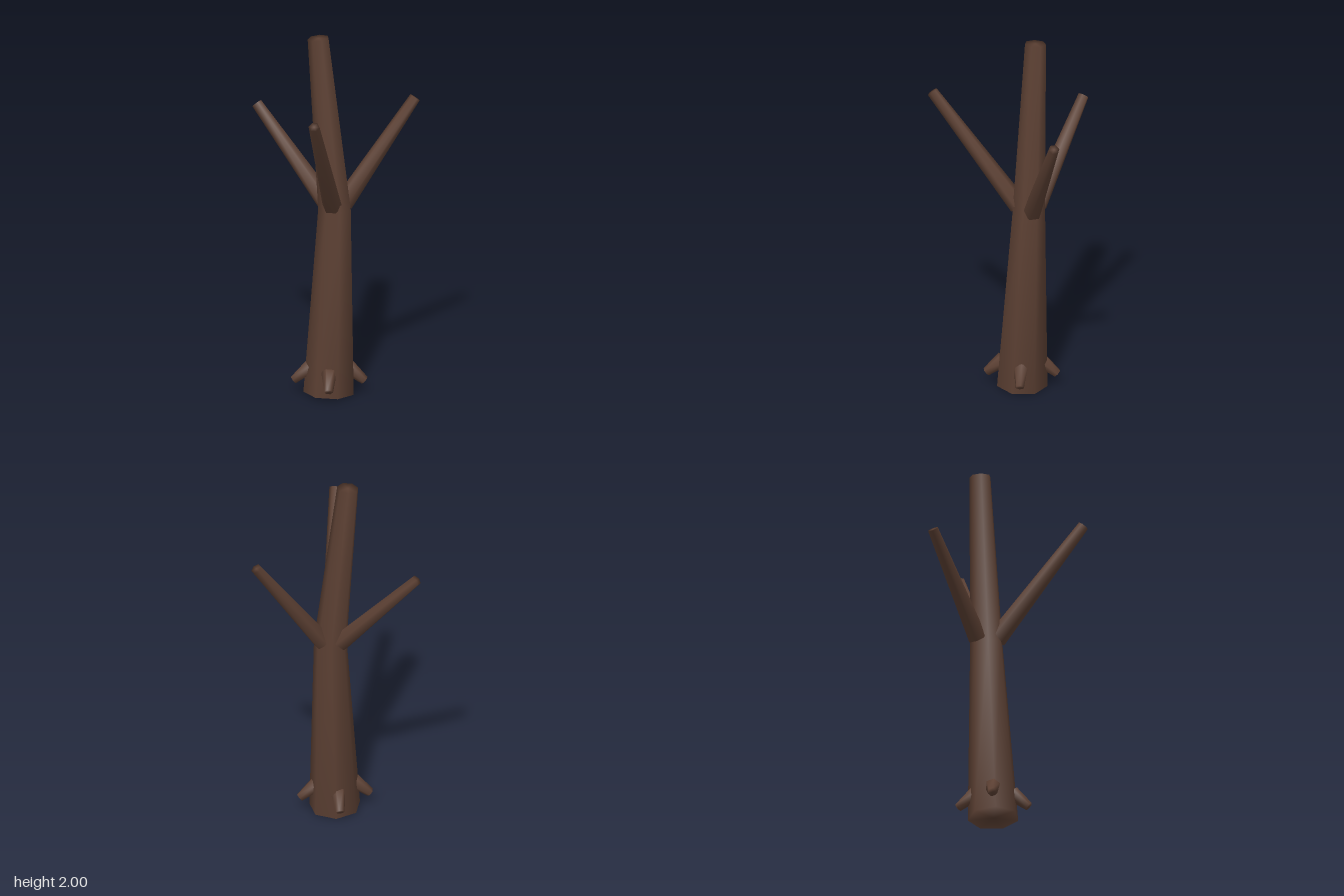
import * as THREE from 'three';
import { mergeVertices } from 'three/addons/utils/BufferGeometryUtils.js';

const UP = new THREE.Vector3(0, 1, 0);

// Weld a geometry so its normals run smoothly over sides and caps
function smooth(geo) {
  geo.deleteAttribute('uv');
  geo.deleteAttribute('normal');
  const welded = mergeVertices(geo, 1e-4);
  welded.computeVertexNormals();
  return welded;
}

// Tapered limb running between two points
function limb(name, from, to, r0, r1, sides, material) {
  const a = new THREE.Vector3(...from);
  const b = new THREE.Vector3(...to);
  const dir = b.clone().sub(a);
  const geo = smooth(new THREE.CylinderGeometry(r1, r0, dir.length(), sides));
  const mesh = new THREE.Mesh(geo, material);
  mesh.position.copy(a).add(b).multiplyScalar(0.5);
  mesh.quaternion.setFromUnitVectors(UP, dir.normalize());
  mesh.name = name;
  return mesh;
}

// Leaning trunk: three seven-sided rings, each tilted with the trunk
function makeTrunk(material) {
  const rings = [
    { c: [-0.111, 0.007, -0.005], r: 0.139, axis: [0.04, 1, -0.025] },
    { c: [-0.07, 1.04, -0.03], r: 0.09, axis: [-0.02, 1, -0.04] },
    { c: [-0.143, 1.995, -0.09], r: 0.058, axis: [-0.075, 1, -0.06] },
  ];
  const geo = new THREE.CylinderGeometry(1, 1, 2, 7, 2);
  const pos = geo.attributes.position;
  const v = new THREE.Vector3();
  const q = new THREE.Quaternion();
  for (let i = 0; i < pos.count; i++) {
    v.fromBufferAttribute(pos, i);
    const ring = rings[Math.round(v.y) + 1];
    q.setFromUnitVectors(UP, new THREE.Vector3(...ring.axis).normalize());
    v.setY(0).multiplyScalar(ring.r).applyQuaternion(q);
    v.add(new THREE.Vector3(...ring.c));
    pos.setXYZ(i, v.x, v.y, v.z);
  }
  const mesh = new THREE.Mesh(smooth(geo), material);
  mesh.name = 'trunk';
  return mesh;
}

export function createModel() {
  const group = new THREE.Group();
  group.name = 'bareTree';
  const bark = new THREE.MeshStandardMaterial({ color: 0x5c4033 });
  bark.name = 'brown bark';

  group.add(makeTrunk(bark));

  // Three bare branches
  const branches = [
    ['leftBranch', [-0.02, 1.06, -0.035], [0.385, 1.615, -0.034]],
    ['frontBranch', [-0.1, 1.07, 0.015], [-0.345, 1.69, 0.425]],
    ['backBranch', [-0.1, 1.06, -0.09], [-0.375, 1.535, -0.43]],
  ];
  for (const [name, from, to] of branches) {
    group.add(limb(name, from, to, 0.053, 0.03, 6, bark));
  }

  // Four short roots around the foot
  for (let i = 0; i < 4; i++) {
    const t = THREE.MathUtils.degToRad(20 + i * 90);
    const at = (r, y) => [-0.111 + r * Math.cos(t), y, -0.005 + r * Math.sin(t)];
    group.add(limb('root' + (i + 1), at(0.1, 0.15), at(0.19, 0.072), 0.042, 0.024, 6, bark));
  }
  return group;
}
